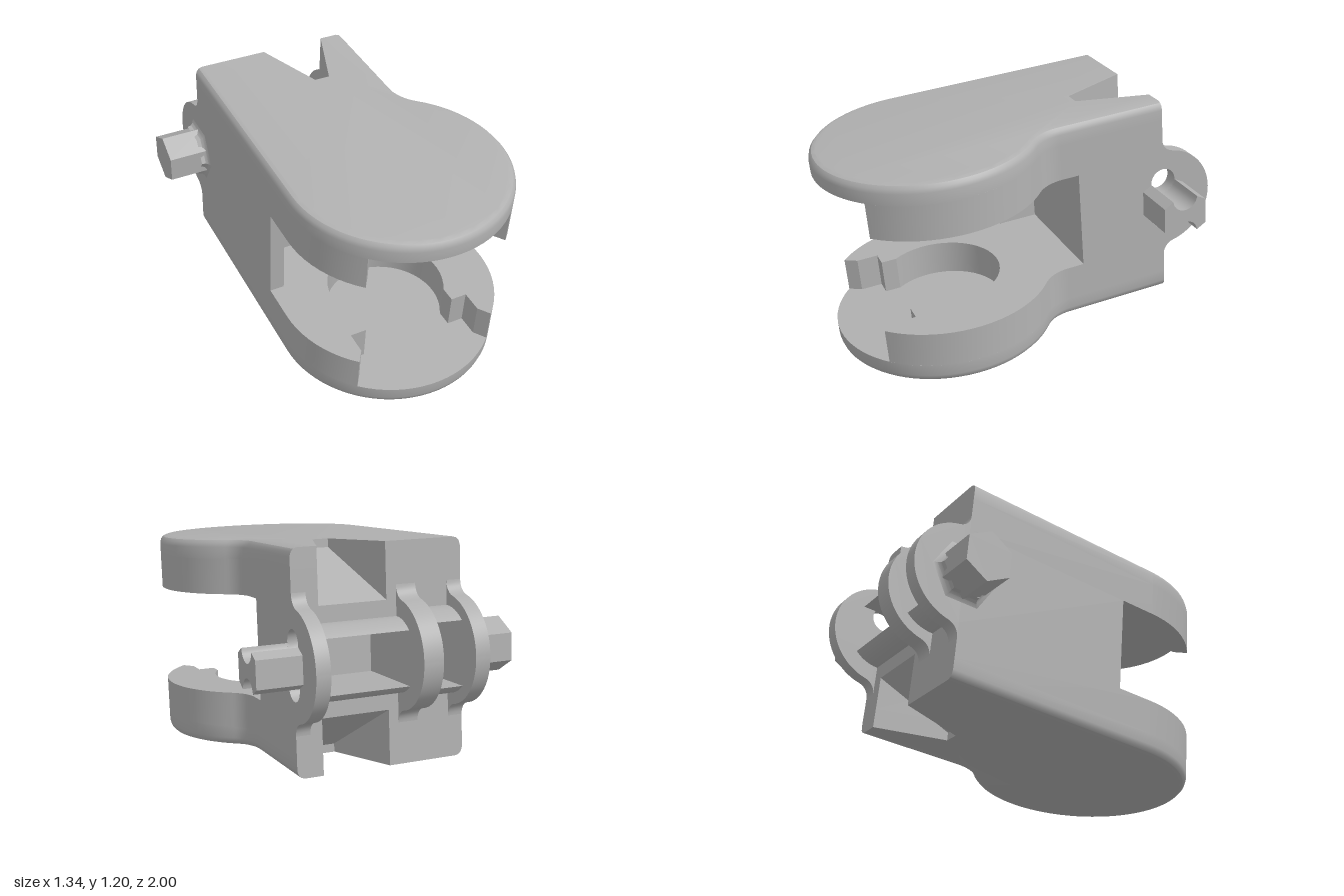
import * as THREE from 'three';
import { toCreasedNormals } from 'three/addons/utils/BufferGeometryUtils.js';

const HINGE = -0.738;            // back face and hinge axis
const CX = 0.105, CZ = 0.4, R = 0.565; // round front end
const HALF = 0.253, FLOOR = 0.432, TOP = 0.53;
const V = (x, y) => new THREE.Vector2(x, y);

// Points of an arc, from angle a to angle b
function arc(cx, cy, r, a, b, n = 16) {
  return Array.from({ length: n + 1 }, (_, i) => {
    const t = a + (b - a) * i / n;
    return V(cx + r * Math.cos(t), cy + r * Math.sin(t));
  });
}

// Plan outline (x, z), shrunk by inset; the inner layer has a pocket open to the front
function plan(inset, pocket) {
  const r = R - inset, end = -0.867, c = (x, z) => V(CX + x, CZ + z);
  const front = pocket ? [
    ...arc(CX, CZ, r, Math.PI, 2.303, 10),
    c(-0.335, 0.36), c(-0.335, 0.25), c(-0.25, 0.25),
    ...arc(CX, CZ, 0.302, 2.545, 2 * Math.PI + 0.597, 32),
    c(0.25, 0.25), c(0.335, 0.25), c(0.335, 0.36),
    ...arc(CX, CZ, r, 0.838, end, 20),
  ] : arc(CX, CZ, r, Math.PI, end, 48);
  return [
    V(-0.46 + inset, HINGE),
    ...front,
    ...arc(0.6, -0.183, 0.2 + inset, 2.275, Math.PI, 10).slice(1),
    V(0.4 - inset, HINGE),
    V(0.27, HINGE), V(0.145, -0.39), V(0.065, -0.39), V(-0.07, HINGE), // V notch
  ].map(p => V(p.x, -p.y));
}

// Stacked outlines joined by walls and closed by two caps; levels are [height, inset]
function loft(levels, pocket) {
  const rings = levels.map(([, inset]) => plan(inset, pocket));
  const n = rings[0].length, pos = [], idx = [];
  rings.forEach((ring, k) => ring.forEach(p => pos.push(p.x, levels[k][0], -p.y)));
  for (let k = 0; k < rings.length - 1; k++) {
    for (let i = 0; i < n; i++) {
      const a = k * n + i, b = k * n + (i + 1) % n;
      idx.push(a, b, b + n, a, b + n, a + n);
    }
  }
  const last = (rings.length - 1) * n;
  for (const [a, b, c] of THREE.ShapeUtils.triangulateShape(rings[0], [])) idx.push(a, c, b);
  for (const [a, b, c] of THREE.ShapeUtils.triangulateShape(rings[rings.length - 1], [])) {
    idx.push(last + a, last + b, last + c);
  }
  const g = new THREE.BufferGeometry();
  g.setAttribute('position', new THREE.Float32BufferAttribute(pos, 3));
  g.setIndex(idx);
  return toCreasedNormals(g, 0.5);
}

// Side profile (z, y) extruded across x
function across(points, x0, x1, holes = []) {
  const shape = new THREE.Shape(points);
  for (const h of holes) shape.holes.push(new THREE.Path(h));
  const g = new THREE.ExtrudeGeometry(shape, { depth: x1 - x0, bevelEnabled: false });
  g.rotateY(-Math.PI / 2).translate(x1, 0, 0);
  return toCreasedNormals(g, 0.5);
}

const mirrorY = pts => pts.map(p => V(p.x, -p.y)).reverse();

// Wall slice with a round hinge ear and fillets at the back
function earProfile(front) {
  const upper = [
    V(front, HALF), V(HINGE, HALF),
    ...arc(HINGE - 0.07, 0.3276, 0.07, 0, -1.36, 6),
    ...arc(HINGE, 0, 0.265, 1.781, Math.PI - 0.02, 16),
  ];
  return [...upper, ...mirrorY(upper)];
}

export function createModel() {
  const grey = new THREE.MeshStandardMaterial({ color: 0xb0b0b0 });
  grey.name = 'grey';
  const model = new THREE.Group();
  model.name = 'hingedClamp';
  const body = new THREE.Group();
  body.name = 'clampBody';
  body.rotation.x = 0.088;
  body.position.y = 0.611;
  model.add(body);
  const add = (name, geometry) => {
    const m = new THREE.Mesh(geometry, grey);
    m.name = name;
    body.add(m);
    return m;
  };

  // Upper and lower jaws: rounded outer plate and pocketed ring
  const outer = [[FLOOR, 0], [0.49, 0], [0.511, 0.006], [0.524, 0.018], [TOP, 0.036]];
  const inner = [[HALF, 0], [FLOOR, 0]];
  const flip = levels => levels.map(([h, i]) => [-h, i]).reverse();
  add('upperPlate', loft(outer, false));
  add('upperPocketRing', loft(inner, true));
  add('lowerPlate', loft(flip(outer), false));
  add('lowerPocketRing', loft(flip(inner), true));

  // Ramps on the floors of the notches
  const ramp = [V(-0.38, HALF - 0.02), V(-0.38, 0.495), V(HINGE, 0.26), V(HINGE, HALF - 0.02)];
  add('upperNotchRamp', across(ramp, -0.07, 0.27));
  add('lowerNotchRamp', across(mirrorY(ramp), -0.07, 0.27));

  // Side wall and ears
  add('rightWall', across(earProfile(0.203), -0.46, -0.385));
  add('middleEar', across(earProfile(-0.27), -0.22, -0.12));
  const hole = s => arc(HINGE, s * 0.1, 0.067, 0, 2 * Math.PI, 24).slice(0, -1);
  add('leftEar', across(earProfile(-0.27), 0.33, 0.4, [hole(1), hole(-1)]));

  // Ribs above and below the through window
  const rib = [
    V(-0.06, 0.155), V(-0.06, HALF), V(HINGE, HALF),
    ...arc(HINGE, 0, 0.21, Math.PI / 2, Math.PI - 0.83, 8),
  ];
  add('upperWindowRib', across(rib, -0.385, -0.22));
  add('lowerWindowRib', across(mirrorY(rib), -0.385, -0.22));

  // Centre block with a pocket in its back
  const centre = [
    V(-0.27, HALF), V(HINGE, HALF),
    ...arc(HINGE, 0, 0.18, Math.PI / 2, Math.PI - 0.807, 8),
    V(-0.45, 0.13),
  ];
  add('centreBlock', across([...centre, ...mirrorY(centre)], -0.12, 0.33));

  // Plain hexagonal stub with a flared root
  const hex = r => arc(HINGE, 0, r, Math.PI / 6, Math.PI / 6 + 2 * Math.PI, 6).slice(0, -1);
  add('rightStub', across(hex(0.133), -0.67, -0.45));
  const flare = new THREE.LatheGeometry(
    [V(0.17, 0), V(0.15, 0.008), V(0.138, 0.02), V(0.133, 0.04)], 6);
  flare.rotateZ(Math.PI / 2);
  const root = add('rightStubRoot', toCreasedNormals(flare, 0.5));
  root.position.set(-0.46, 0, HINGE);

  // Hexagonal stub with two round grooves in line with the ear holes
  const groove = arc(HINGE, 0.1, 0.067, -0.09, -Math.PI + 0.09, 14);
  const upperHalf = [V(HINGE + 0.115, 0.066), ...groove, V(HINGE - 0.115, 0.066)];
  add('leftStub', across([...upperHalf, ...mirrorY(upperHalf)], 0.39, 0.62));

  return model;
}
